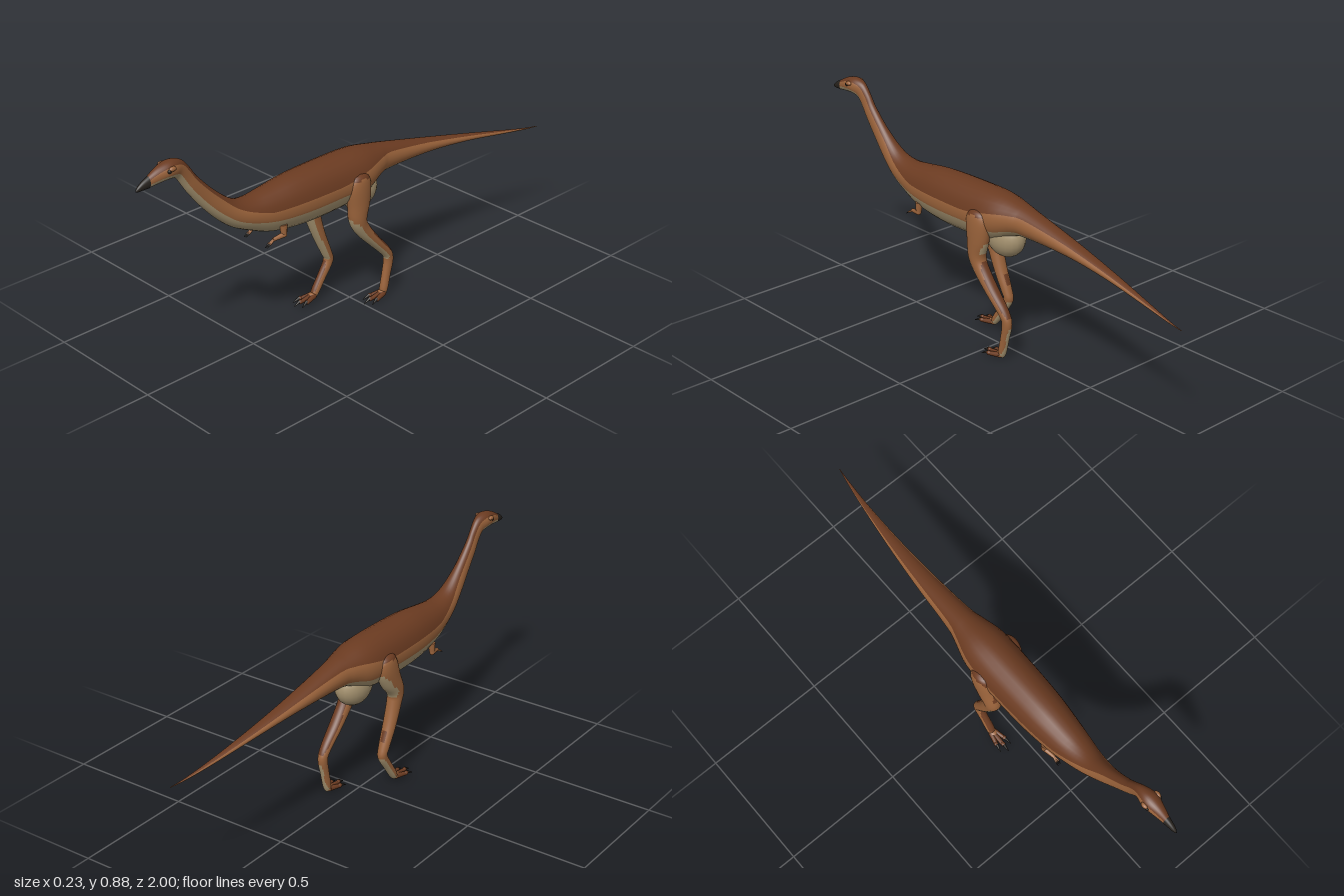
import * as THREE from 'three';

const mat = (name, color) => {
  const m = new THREE.MeshStandardMaterial({ color });
  m.name = name;
  return m;
};

// Smooth (Catmull-Rom) resampling of rows of numbers
function resample(rows, steps) {
  const out = [], last = rows.length - 1;
  const blend = (p, q, r, s, t) => 0.5 * (2 * q + (r - p) * t
    + (2 * p - 5 * q + 4 * r - s) * t ** 2 + (3 * q - p - 3 * r + s) * t ** 3);
  for (let i = 0; i < last; i++) {
    const [p, q, r, s] = [i - 1, i, i + 1, i + 2].map(k => rows[Math.max(0, Math.min(last, k))]);
    for (let k = 0; k < steps; k++) out.push(q.map((v, c) => blend(p[c], v, r[c], s[c], k / steps)));
  }
  out.push(rows[last]);
  return out;
}

// Angles (degrees from the top) where the back colour ends and the belly colour starts
function bodyBands(z) {
  const keys = [[0.95, 60, 105], [0.8, 54, 115], [0.66, 52, 115], [0.45, 79, 105],
    [0.1, 81, 104], [-0.18, 56, 126], [-0.4, 48, 125], [-1, 48, 125]];
  const i = Math.max(1, keys.findIndex(k => k[0] <= z));
  const [p, q] = [keys[i - 1], keys[i]];
  const t = THREE.MathUtils.clamp((z - p[0]) / (q[0] - p[0]), 0, 1);
  return [1, 2].map(c => THREE.MathUtils.lerp(p[c], q[c], t));
}

// Loft of elliptical rings; each row: upper z, upper y, lower z, lower y, half width, x.
// Coloured by the angles from bandsAt, or by face direction when that is missing.
function loft(rows, steps, bandsAt) {
  const n = 5, N = 6 * n, pos = [], bands = [[], [], []];
  const stations = resample(rows, steps);
  for (const [zt, yt, zb, yb, w, x] of stations) {
    const zc = (zt + zb) / 2, [a, b] = bandsAt ? bandsAt(zc) : [60, 120];
    const edges = [-a, a, b, 360 - b, 360 - a];
    [2 * n, n, 2 * n, n].forEach((count, e) => {
      for (let k = 0; k < count; k++) {
        const t = THREE.MathUtils.degToRad(THREE.MathUtils.lerp(edges[e], edges[e + 1], k / count));
        const u = Math.cos(t) / 2;
        pos.push(x + Math.max(w, 0.001) * Math.sin(t), (yt + yb) / 2 + (yt - yb) * u, zc + (zt - zb) * u);
      }
    });
  }
  const V = i => new THREE.Vector3().fromArray(pos, i * 3);
  for (let i = 0; i < stations.length - 1; i++) for (let j = 0; j < N; j++) {
    const a = i * N + j, b = i * N + (j + 1) % N, c = a + N, d = b + N;
    let band = j < 2 * n ? 0 : j < 3 * n ? 1 : j < 5 * n ? 2 : 1;
    if (!bandsAt) {
      const ny = V(d).sub(V(a)).cross(V(c).sub(V(b))).normalize().y;
      band = ny > 0.35 ? 0 : ny < -0.2 ? 2 : 1;
    }
    bands[band].push(a, b, c, b, d, c);
  }
  const g = new THREE.BufferGeometry();
  g.setAttribute('position', new THREE.Float32BufferAttribute(pos, 3));
  g.setIndex(bands.flat());
  let start = 0;
  bands.forEach((list, m) => { g.addGroup(start, list.length, m); start += list.length; });
  g.computeVertexNormals();
  return g;
}

// Leg thickness from hip to foot: half depth, half width
const LEG_PROFILE = [[0.012, 0.008], [0.042, 0.028], [0.056, 0.035], [0.05, 0.035], [0.038, 0.033],
  [0.031, 0.029], [0.0245, 0.027], [0.021, 0.022], [0.021, 0.019], [0.0185, 0.017], [0.0165, 0.017], [0.01, 0.01]];

// Turns a centre path of [z, y] into loft rows set square to the path
function legRows(path, x) {
  return path.map(([z, y], i) => {
    const [r, w] = LEG_PROFILE[i];
    const p = path[Math.max(0, i - 1)], q = path[Math.min(path.length - 1, i + 1)];
    const l = Math.hypot(q[0] - p[0], q[1] - p[1]);
    const nz = (q[1] - p[1]) / l * r, ny = -(q[0] - p[0]) / l * r;
    return [z + nz, y + ny, z - nz, y - ny, w, x];
  });
}

export function createModel() {
  const dark = mat('dark brown back', 0x6b3b21), tan = mat('tan flank', 0x99623a);
  const beige = mat('beige belly', 0xa69370), black = mat('black horn', 0x27221d);
  const skin = [dark, tan, beige];
  const root = new THREE.Group();
  root.name = 'longNeckedDinosaur';

  const add = (name, geo, material, parent = root) => {
    const m = new THREE.Mesh(geo, material);
    m.name = name;
    parent.add(m);
    return m;
  };
  const ball = (name, c, s, material, parent) => {
    const m = add(name, new THREE.SphereGeometry(1, 20, 14), material, parent);
    m.position.set(...c);
    m.scale.set(...s);
  };
  // Tapered round segment between two points
  const segment = (name, p, q, r1, r2, material, parent) => {
    const a = new THREE.Vector3(...p), d = new THREE.Vector3(...q).sub(a);
    const m = add(name, new THREE.CylinderGeometry(r2, r1, d.length(), 10), material, parent);
    m.position.copy(a).addScaledVector(d, 0.5);
    m.quaternion.setFromUnitVectors(new THREE.Vector3(0, 1, 0), d.normalize());
  };

  // Head, neck and trunk, then a tail that curves to the left
  const headAndNeck = [
    [0.95, 0.843, 0.95, 0.803, 0.014], [0.91, 0.864, 0.91, 0.807, 0.024],
    [0.87, 0.876, 0.87, 0.81, 0.033], [0.835, 0.876, 0.845, 0.807, 0.031],
    [0.798, 0.86, 0.826, 0.797, 0.023], [0.765, 0.82, 0.803, 0.762, 0.02],
    [0.738, 0.78, 0.78, 0.727, 0.022], [0.674, 0.711, 0.727, 0.658, 0.027],
    [0.61, 0.655, 0.663, 0.588, 0.038], [0.56, 0.627, 0.594, 0.529, 0.05]];
  const trunk = [
    [0.5, 0.618, 0.513, 0.487, 0.064], [0.42, 0.626, 0.42, 0.45, 0.078],
    [0.3, 0.64, 0.28, 0.43, 0.091], [0.12, 0.644, 0.12, 0.43, 0.096],
    [-0.02, 0.64, -0.02, 0.445, 0.094], [-0.12, 0.622, -0.11, 0.49, 0.07]];
  const tail = [
    [-0.18, 0.61, -0.18, 0.502, 0.056], [-0.4, 0.56, -0.4, 0.502, 0.039],
    [-0.61, 0.515, -0.61, 0.485, 0.024], [-0.8, 0.476, -0.8, 0.46, 0.012],
    [-0.93, 0.452, -0.93, 0.445, 0.005], [-1, 0.444, -1, 0.442, 0.001]];
  const tailBend = z => 0.077 * Math.max(0, (-z - 0.1) / 0.9) ** 2;
  const bodyRows = headAndNeck.concat(trunk, tail).map(row => [...row, tailBend(row[0])]);
  add('body', loft(bodyRows, 4, bodyBands), skin);

  // Horny beak
  add('beak', loft([
    [1, 0.808, 1, 0.804, 0.001, 0], [0.99, 0.82, 0.99, 0.802, 0.007, 0],
    [0.97, 0.834, 0.97, 0.802, 0.0115, 0], [0.945, 0.846, 0.945, 0.802, 0.0155, 0],
  ], 3), [black, black, black]);

  // Rounded underside of the pelvis
  ball('pelvis', [0, 0.466, -0.04], [0.064, 0.08, 0.088], beige);

  for (const s of [1, -1]) {
    const side = s > 0 ? 'left' : 'right';
    // Eye under a small brow
    ball(side + 'Eye', [s * 0.031, 0.85, 0.874], [0.006, 0.008, 0.009], black);
    ball(side + 'Brow', [s * 0.031, 0.856, 0.862], [0.009, 0.009, 0.015], tan);

    // Tiny arm with clawed fingers
    const arm = new THREE.Group();
    arm.name = side + 'Arm';
    root.add(arm);
    const elbow = [s * 0.066, 0.448, 0.395];
    segment('upperArm', [s * 0.062, 0.488, 0.395], elbow, 0.016, 0.011, tan, arm);
    ball('elbow', elbow, [0.011, 0.011, 0.011], tan, arm);
    segment('forearm', elbow, [s * 0.058, 0.44, 0.442], 0.011, 0.007, tan, arm);
    for (const f of [-1, 0, 1]) {
      const x = s * 0.058 + f * 0.006;
      segment('finger', [s * 0.058, 0.44, 0.438], [x, 0.428, 0.462], 0.005, 0.003, tan, arm);
      segment('fingerClaw', [x, 0.428, 0.462], [x, 0.418, 0.476], 0.003, 0.0005, black, arm);
    }
  }

  // Legs in mid stride: the right one steps forward
  const buildLeg = (name, x, fy, fz, path) => {
    const leg = new THREE.Group();
    leg.name = name;
    root.add(leg);
    add('leg', loft(legRows(path, x), 4), skin, leg);
    // Three spread toes with dark claws
    ball('footPad', [x, fy - 0.002, fz + 0.008], [0.018, 0.013, 0.02], tan, leg);
    for (const t of [-1, 0, 1]) {
      const len = t ? 0.052 : 0.07, tx = x + t * 0.021, ty = fy - 0.007, tz = fz + len;
      segment('toe', [x + t * 0.008, fy - 0.002, fz + 0.005], [tx, ty, tz], 0.011, 0.008, dark, leg);
      ball('toeTip', [tx, ty + 0.001, tz], [0.009, 0.009, 0.011], dark, leg);
      segment('toeClaw', [tx, ty + 0.004, tz + 0.004], [tx + t * 0.006, ty - 0.009, tz + 0.034], 0.007, 0.001, black, leg);
    }
  };
  buildLeg('leftLeg', 0.08, 0.018, -0.105, [
    [0.03, 0.576], [0.03, 0.562], [0.03, 0.52], [0.03, 0.45], [0.034, 0.385], [0.01, 0.335],
    [-0.05, 0.265], [-0.115, 0.195], [-0.132, 0.155], [-0.12, 0.09], [-0.107, 0.03], [-0.104, 0.008]]);
  buildLeg('rightLeg', -0.082, 0.026, 0.115, [
    [0.05, 0.576], [0.052, 0.562], [0.06, 0.52], [0.085, 0.46], [0.118, 0.4], [0.11, 0.35],
    [0.08, 0.265], [0.045, 0.185], [0.036, 0.148], [0.072, 0.09], [0.108, 0.036], [0.118, 0.018]]);
  return root;
}
